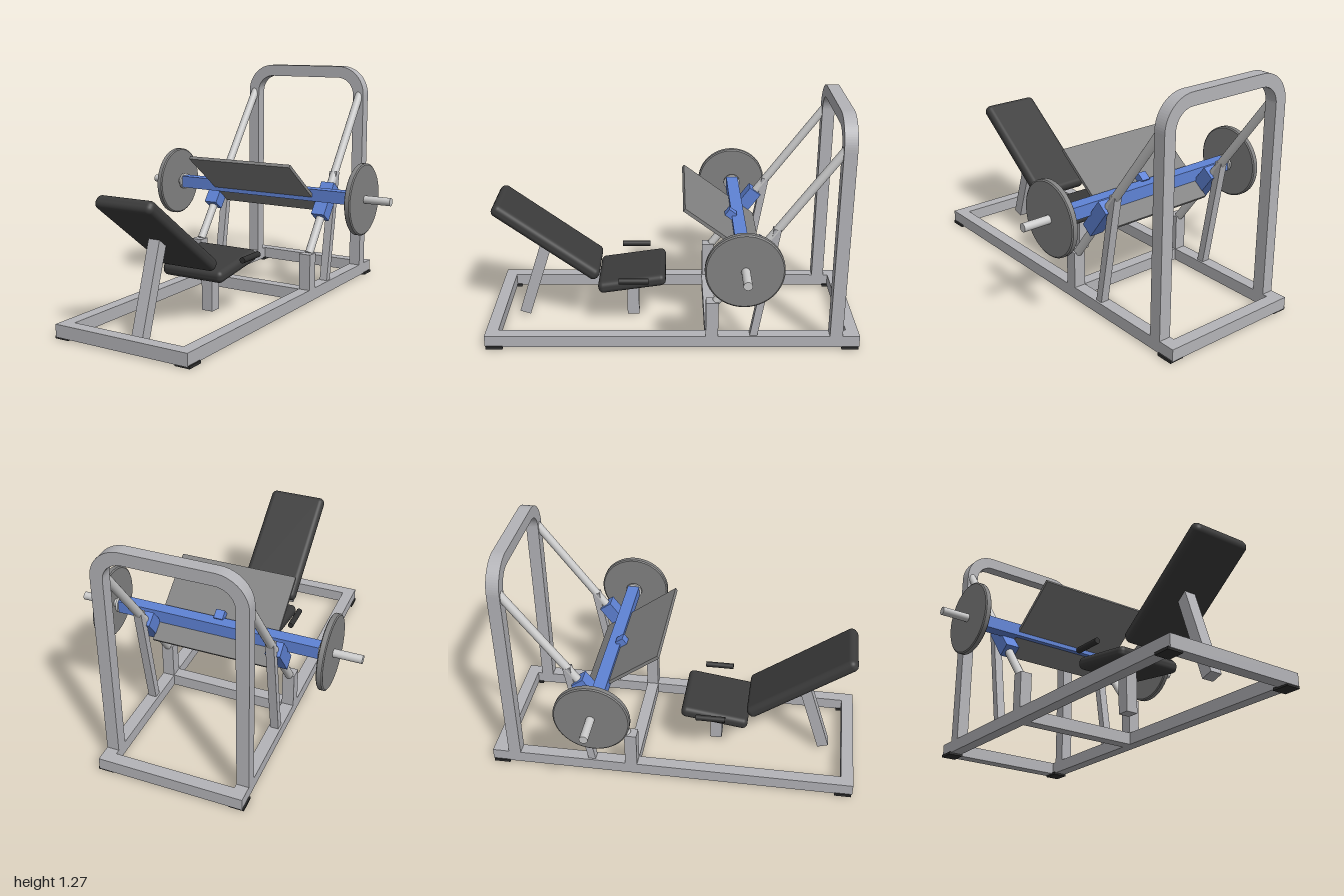
import * as THREE from 'three';
import { RoundedBoxGeometry } from 'three/addons/geometries/RoundedBoxGeometry.js';

const mat = (color) => new THREE.MeshStandardMaterial({ color });

export function createModel() {
  const group = new THREE.Group();
  const frame = mat(0xb4b4b8), steel = mat(0xcccccc), blue = mat(0x5f83d6);
  const pad = mat(0x3c3c3c), iron = mat(0x828282), rubber = mat(0x303030);

  const add = (name, geometry, material, x = 0, y = 0, z = 0, tilt = 0) => {
    const mesh = new THREE.Mesh(geometry, material);
    mesh.name = name;
    mesh.position.set(x, y, z);
    mesh.rotation.x = tilt;
    group.add(mesh);
    return mesh;
  };
  const box = (name, material, w, h, d, x, y, z, tilt) =>
    add(name, new THREE.BoxGeometry(w, h, d), material, x, y, z, tilt);

  // bar lying in a plane of constant x, running from (y0, z0) to (y1, z1)
  const strut = (name, makeGeometry, material, x, y0, z0, y1, z1) =>
    add(name, makeGeometry(Math.hypot(y1 - y0, z1 - z0)), material,
      x, (y0 + y1) / 2, (z0 + z1) / 2, Math.atan2(z1 - z0, y1 - y0));

  const RAIL_X = 0.358, TUBE = 0.066, BASE_Y = 0.042;
  const SLOPE = -0.64; // tilt of everything square to the guide rods

  // base frame
  for (const z of [-0.967, -0.21, 0.967])
    box('baseCrossbar', frame, 2 * RAIL_X - TUBE, TUBE, TUBE, 0, BASE_Y, z);

  for (const s of [-1, 1]) {
    const x = s * RAIL_X;
    box('baseRail', frame, TUBE, TUBE, 2, x, BASE_Y, 0);
    for (const z of [-0.95, 0.95]) box('foot', rubber, 0.082, 0.014, 0.09, x, 0.007, z);

    // inclined guide rod with its short post and rear brace
    box('guidePost', frame, TUBE, 0.2, TUBE, x, 0.175, -0.212);
    strut('guideRod', (l) => new THREE.CylinderGeometry(0.023, 0.023, l, 24), steel,
      x, 0.27, -0.232, 1.128, -0.869);
    strut('guideBrace', (l) => new THREE.BoxGeometry(0.045, l, 0.04), frame,
      x, 0.06, -0.431, 0.69, -0.537);

    // sliding carriage block
    box('carriageBlock', blue, 0.08, 0.206, 0.076, x, 0.535, -0.42, SLOPE);

    // weight horn, collar and disc
    const horn = add('weightHorn', new THREE.CylinderGeometry(0.022, 0.022, 0.23, 24), steel,
      s * 0.665, 0.58, -0.36);
    const collar = add('hornCollar', new THREE.CylinderGeometry(0.048, 0.048, 0.012, 32), steel,
      s * 0.566, 0.58, -0.36);
    const profile = [[0.02, -0.017], [0.19, -0.017], [0.197, -0.012], [0.197, 0.012], [0.19, 0.017], [0.02, 0.017]]
      .map(([r, h]) => new THREE.Vector2(r, h));
    // doubled rim points keep the chamfer crisp
    const crisp = profile.flatMap((p) => [p, p.clone()]);
    const disc = add('weightDisc', new THREE.LatheGeometry(crisp, 48), iron, s * 0.612, 0.58, -0.357);
    for (const part of [horn, collar, disc]) part.rotation.z = Math.PI / 2;

    // hand grip beside the seat
    add('handGrip', new THREE.CylinderGeometry(0.016, 0.016, 0.16, 20), rubber,
      s * 0.24, 0.325, 0.205, Math.PI / 2);
  }

  // rear arch with rounded corners
  const traceArch = (path, w, top, r) => {
    path.moveTo(-w, 0.06);
    path.lineTo(-w, top - r);
    path.absarc(-w + r, top - r, r, Math.PI, Math.PI / 2, true);
    path.lineTo(w - r, top);
    path.absarc(w - r, top - r, r, Math.PI / 2, 0, true);
    path.lineTo(w, 0.06);
    return path;
  };
  const outer = traceArch(new THREE.Shape(), 0.391, 1.275, 0.165);
  const inner = traceArch(new THREE.Path(), 0.325, 1.208, 0.1).getPoints(10).reverse();
  inner.forEach((p) => outer.lineTo(p.x, p.y));
  outer.closePath();
  add('rearArch', new THREE.ExtrudeGeometry(outer, { depth: 0.068, bevelEnabled: false, curveSegments: 10 }),
    frame, 0, 0, -0.908);

  // carriage: crossbar, foot plate and centre lug
  box('carriageBar', blue, 1.12, 0.068, 0.068, 0, 0.58, -0.36);
  box('footPlate', iron, 0.645, 0.018, 0.502, 0, 0.626, -0.264, SLOPE);
  box('carriageLug', blue, 0.05, 0.05, 0.05, 0, 0.617, -0.318, SLOPE);

  // seat and backrest on their posts
  box('seatPost', frame, TUBE, 0.24, TUBE, 0, 0.13, 0.219);
  add('seatPad', new RoundedBoxGeometry(0.37, 0.066, 0.372, 5, 0.028), pad, 0, 0.272, 0.219, 0.145);
  strut('backrestPost', (l) => new THREE.BoxGeometry(TUBE, l, 0.062), frame, 0, 0.02, 0.833, 0.485, 0.682);
  add('backrestPad', new RoundedBoxGeometry(0.336, 0.07, 0.682, 5, 0.03), pad, 0, 0.508, 0.678, -0.635);

  return group;
}
